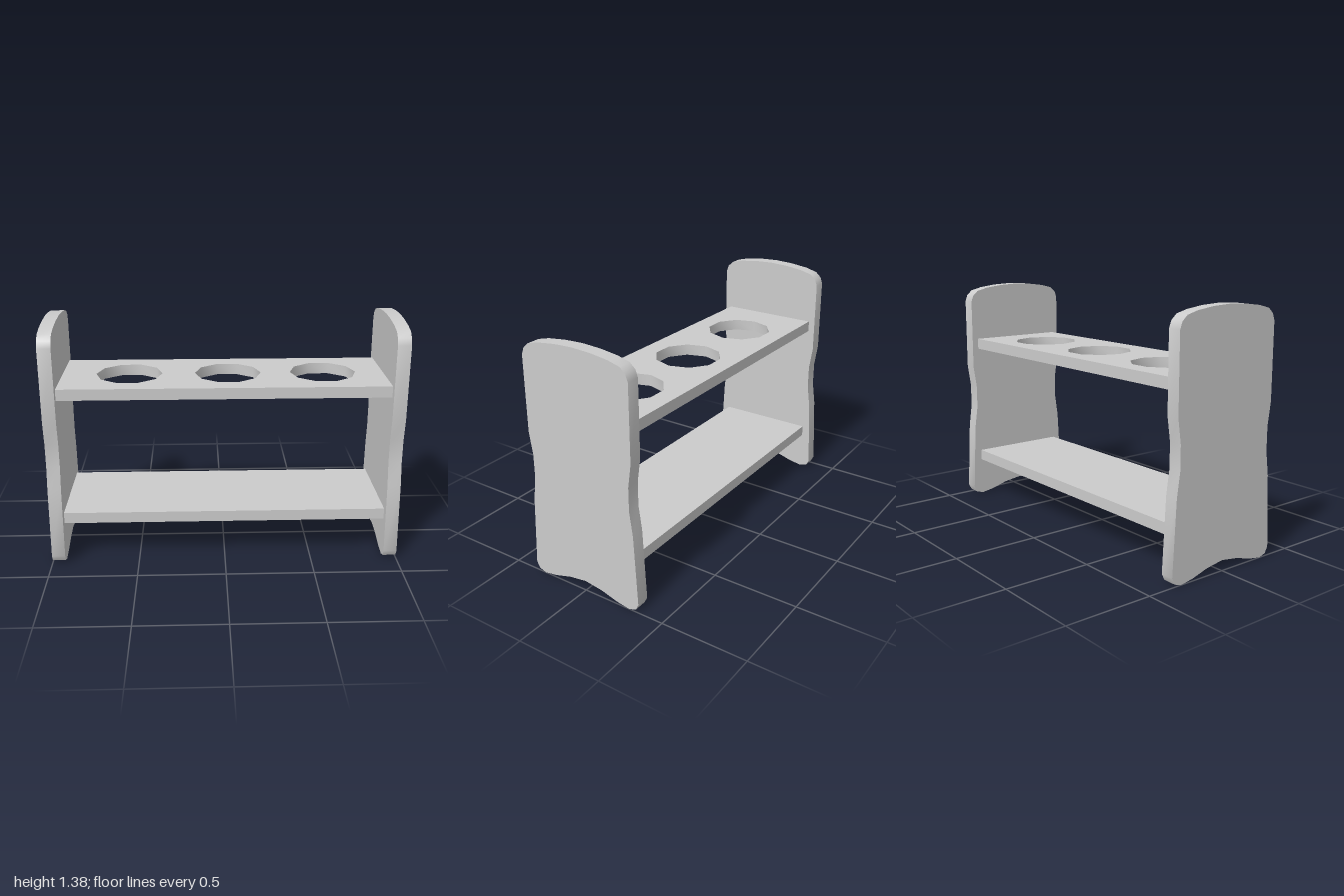
import * as THREE from 'three';
import { toCreasedNormals } from 'three/addons/utils/BufferGeometryUtils.js';

const material = new THREE.MeshStandardMaterial({ color: 0xcccccc });

// Half outline of an end panel as [depth, height], from top centre to bottom centre
const HALF_PROFILE = [
  [0, 1.38], [0.11, 1.375], [0.215, 1.362], [0.285, 1.344], [0.317, 1.315], [0.331, 1.277],
  [0.331, 0.855], [0.312, 0.725], [0.312, 0.59], [0.331, 0.455], [0.352, 0.05],
  [0.334, 0.014], [0.29, 0], [0.21, 0.013], [0.11, 0.042], [0, 0.058],
];
const PANEL_THICKNESS = 0.076;
const SHELF_THICKNESS = 0.064;
const SHELF_HALF_LENGTH = 1 - PANEL_THICKNESS;
const SHELF_HALF_DEPTH = 0.292;

function extrude(shape, depth) {
  return new THREE.ExtrudeGeometry(shape, { depth, bevelEnabled: false, curveSegments: 1 });
}

function addMesh(group, name, geometry) {
  const mesh = new THREE.Mesh(toCreasedNormals(geometry, 0.7), material);
  mesh.name = name;
  group.add(mesh);
  return mesh;
}

// Upright panel with a waisted side, domed top and arched foot
function panelGeometry() {
  const mirrored = HALF_PROFILE.slice(1, -1).reverse().map(([z, y]) => [-z, y]);
  const outline = [...HALF_PROFILE, ...mirrored].map(([z, y]) => new THREE.Vector2(z, y));
  return extrude(new THREE.Shape(outline), PANEL_THICKNESS)
    .translate(0, 0, -PANEL_THICKNESS / 2)
    .rotateY(Math.PI / 2);
}

// Flat board between the panels, with ten-sided holes at the given x positions
function shelfGeometry(holeCentres) {
  const l = SHELF_HALF_LENGTH, d = SHELF_HALF_DEPTH;
  const shape = new THREE.Shape([
    new THREE.Vector2(-l, -d), new THREE.Vector2(l, -d),
    new THREE.Vector2(l, d), new THREE.Vector2(-l, d),
  ]);
  for (const x of holeCentres) {
    const points = [];
    for (let i = 0; i < 10; i++) {
      const a = (-i / 10) * Math.PI * 2;
      points.push(new THREE.Vector2(x + 0.19 * Math.cos(a), 0.19 * Math.sin(a)));
    }
    shape.holes.push(new THREE.Path(points));
  }
  return extrude(shape, SHELF_THICKNESS).rotateX(-Math.PI / 2);
}

export function createModel() {
  const model = new THREE.Group();
  model.name = 'holderRack';

  // End panels
  for (const [name, side] of [['leftPanel', 1], ['rightPanel', -1]]) {
    addMesh(model, name, panelGeometry()).position.x = side * (1 - PANEL_THICKNESS / 2);
  }

  // Shelves
  addMesh(model, 'lowerShelf', shelfGeometry([])).position.y = 0.23;
  addMesh(model, 'upperShelf', shelfGeometry([-0.54, 0.026, 0.575])).position.y = 0.973;

  return model;
}
